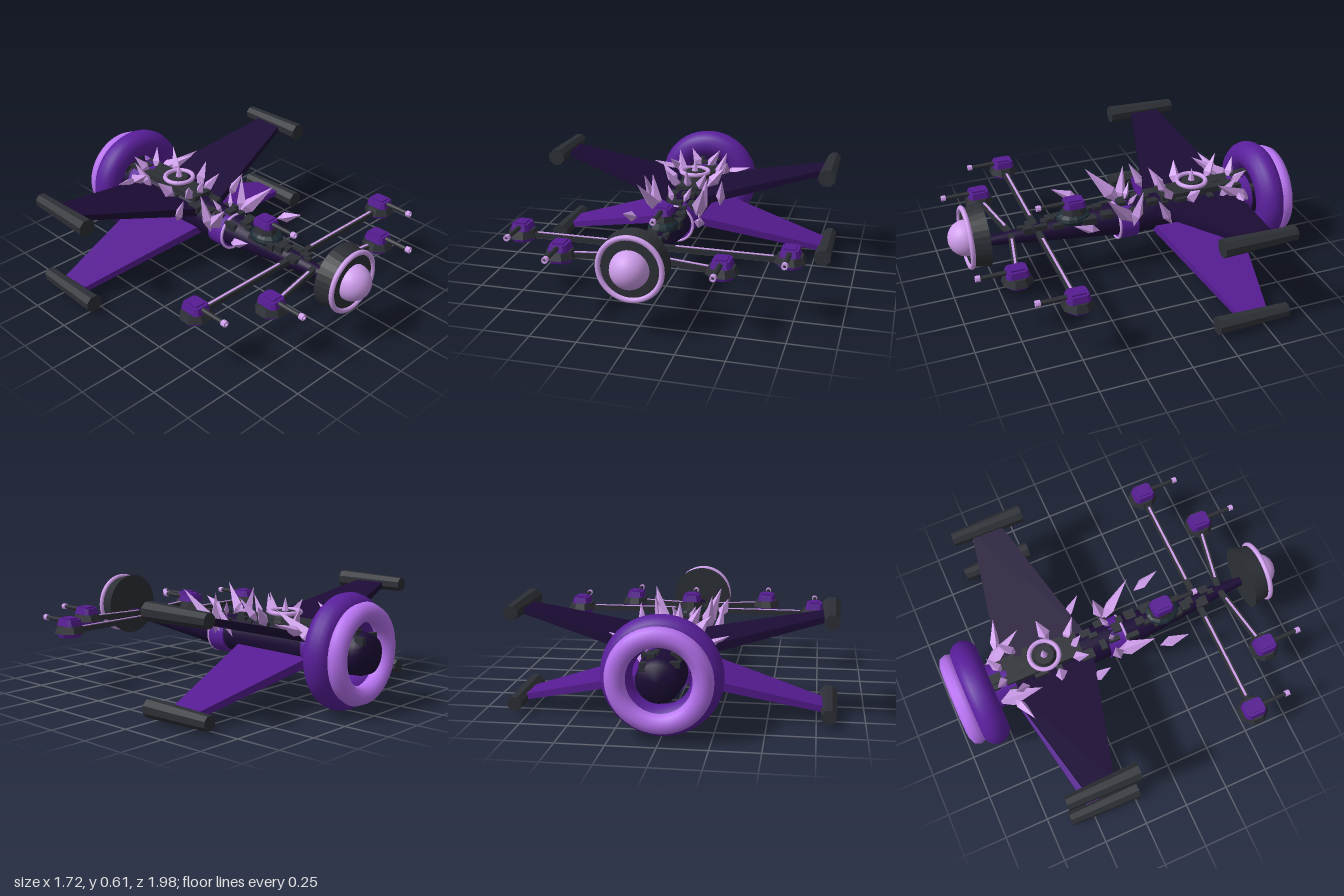
import * as THREE from 'three';

const mat = (color, flatShading = true) => new THREE.MeshStandardMaterial({ color, flatShading });
const DARK = mat(0x2c2f35), NIGHT = mat(0x1c0c36), PURPLE = mat(0x561c92), TEAL = mat(0x1c2c34);
const NIGHT_S = mat(0x1c0c36, false), PURPLE_S = mat(0x5a1f9c, false);
const LILAC = mat(0xcf9eec), LILAC_S = mat(0xcf9eec, false), VIOLET_S = mat(0xb873f2, false);
const lerp = THREE.MathUtils.lerp;
const CY = 0.318; // hull axis height

export function createModel() {
  const root = new THREE.Group();
  const add = (name, geo, m, x = 0, y = 0, z = 0, parent = root) => {
    const mesh = new THREE.Mesh(geo, m);
    mesh.name = name;
    mesh.position.set(x, y, z);
    parent.add(mesh);
    return mesh;
  };
  const box = (w, h, d) => new THREE.BoxGeometry(w, h, d);
  // cylinder lying along z, with front and back radii
  const rod = (rFront, rBack, len, n = 8) =>
    new THREE.CylinderGeometry(rFront, rBack, len, n).rotateY(Math.PI / n).rotateX(Math.PI / 2);

  // hull: revolved profile, nose bent slightly upward
  const profile = [[0, -0.975], [0.095, -0.975], [0.112, -0.93], [0.122, -0.75], [0.115, -0.6], [0.1, -0.05],
    [0.092, 0.06], [0.065, 0.35], [0.022, 0.82], [0, 0.82]];
  const hullRadius = z => {
    for (let i = 1; i < profile.length - 2; i++) {
      const [r0, z0] = profile[i], [r1, z1] = profile[i + 1];
      if (z <= z1) return lerp(r0, r1, (z - z0) / (z1 - z0));
    }
    return 0.022;
  };
  const hull = new THREE.LatheGeometry(profile.map(p => new THREE.Vector2(...p)), 24).rotateX(Math.PI / 2);
  const hp = hull.attributes.position;
  for (let i = 0; i < hp.count; i++) hp.setY(i, hp.getY(i) + CY + 0.018 * Math.max(0, hp.getZ(i)) / 0.8);
  hull.computeVertexNormals();
  add('hull', hull, new THREE.MeshStandardMaterial({ color: 0x1c0c36, side: THREE.DoubleSide }));

  // collars around the hull
  add('engineCollar', rod(0.125, 0.128, 0.14, 24), PURPLE_S, 0, CY, -0.69);
  add('midCollar', rod(0.108, 0.108, 0.11, 24), PURPLE_S, 0, CY - 0.01, -0.005);
  add('collarTrim', new THREE.TorusGeometry(0.103, 0.008, 8, 32), LILAC_S, 0, CY - 0.01, 0.048);

  // engine rings
  add('engineRing', new THREE.TorusGeometry(0.226, 0.08, 14, 48), PURPLE_S, 0, 0.315, -0.82);
  add('exhaustRing', new THREE.TorusGeometry(0.215, 0.052, 8, 48), VIOLET_S, 0, 0.315, -0.918);

  // wings: box tapered toward the tip, with a tip pod
  for (const sx of [-1, 1]) for (const sy of [-1, 1]) {
    const geo = box(1, 1, 1), p = geo.attributes.position;
    for (let i = 0; i < p.count; i++) {
      const u = 0.5 + sx * p.getX(i), v = p.getZ(i) + 0.5;
      p.setXYZ(i, sx * lerp(0.05, 0.81, u),
        0.315 + sy * lerp(0.05, 0.242, u) + p.getY(i) * lerp(0.05, 0.032, u),
        lerp(lerp(-0.67, -0.515, u), lerp(-0.155, -0.36, u), v));
    }
    geo.computeVertexNormals();
    add(sy > 0 ? 'upperWing' : 'lowerWing', geo, sy > 0 ? NIGHT : PURPLE);
    add('wingTipPod', rod(0.051, 0.04, 0.41), DARK, sx * 0.812, 0.315 + sy * 0.243, -0.425);
  }

  // nose dish, rim and dome
  const DY = 0.385;
  add('noseDish', rod(0.158, 0.18, 0.1, 32), mat(0x2c2f35), 0, DY, 0.85);
  add('dishRim', new THREE.TorusGeometry(0.163, 0.014, 10, 48), LILAC_S, 0, DY, 0.9);
  add('noseDome', new THREE.SphereGeometry(0.1, 32, 20), LILAC_S, 0, DY, 0.9);

  // octagonal block: square with cut corners, narrowing upward
  const block = (w, d, h, top = 0.8, cut = 0.3) => {
    const a = 0.5, c = a - cut;
    const s = new THREE.Shape([[a, c], [c, a], [-c, a], [-a, c], [-a, -c], [-c, -a], [c, -a], [a, -c]]
      .map(q => new THREE.Vector2(q[0] * w, q[1] * d)));
    const g = new THREE.ExtrudeGeometry(s, { depth: h, bevelEnabled: false }).rotateX(-Math.PI / 2);
    const p = g.attributes.position;
    for (let i = 0; i < p.count; i++) {
      const k = p.getY(i) > h / 2 ? top : 1;
      p.setXYZ(i, p.getX(i) * k, p.getY(i), p.getZ(i) * k);
    }
    g.computeVertexNormals();
    return g;
  };
  const turret = (x, y, z) => {
    const g = new THREE.Group();
    g.name = 'turret';
    g.position.set(x, y, z);
    root.add(g);
    add('turretHead', block(0.105, 0.125, 0.035, 0.85, 0.15), PURPLE, 0, 0, 0, g);
    add('turretCap', box(0.06, 0.012, 0.075), PURPLE, 0, 0.037, 0, g);
    add('barrel', rod(0.011, 0.014, 0.16), DARK, 0, 0.02, 0.125, g);
    const tip = new THREE.LatheGeometry([[0.009, 0], [0.017, 0], [0.017, 0.025], [0.009, 0.025], [0.009, 0]]
      .map(q => new THREE.Vector2(...q)), 8).rotateX(Math.PI / 2);
    add('muzzle', tip, new THREE.MeshStandardMaterial({ color: 0xcf9eec, flatShading: true, side: THREE.DoubleSide }), 0, 0.02, 0.19, g);
  };

  // beam with a pale strip on top, between two ground positions
  const beam = (x0, z0, x1, z1) => {
    const g = new THREE.Group(), len = Math.hypot(x1 - x0, z1 - z0);
    g.name = 'gunBoom';
    g.position.set((x0 + x1) / 2, 0.352, (z0 + z1) / 2);
    g.rotation.y = -Math.atan2(z1 - z0, x1 - x0);
    root.add(g);
    add('boom', box(len, 0.028, 0.032), DARK, 0, 0, 0, g);
    add('boomStrip', box(len * 0.75, 0.006, 0.012), LILAC, len * 0.06, 0.015, 0, g);
  };
  for (const s of [-1, 1]) {
    beam(0, 0.51, s * 0.68, 0.51);
    beam(0, 0.655, s * 0.38, 0.725);
    for (const [x, z] of [[0.722, 0.51], [0.42, 0.733]]) {
      add('podKeel', block(0.12, 0.12, 0.022, 1.1), PURPLE, s * x, 0.322, z);
      add('podBase', block(0.16, 0.16, 0.04, 0.8), DARK, s * x, 0.344, z);
      turret(s * x, 0.384, z);
    }
  }

  // dorsal turret on a teal canopy
  const canopy = add('canopy', new THREE.SphereGeometry(1, 12, 8), TEAL, 0, 0.39, 0.295);
  canopy.scale.set(0.083, 0.042, 0.1);
  add('turretNeck', block(0.12, 0.14, 0.05), DARK, 0, 0.41, 0.29);
  turret(0, 0.46, 0.29);

  // spine with scattered machinery boxes
  add('spine', box(0.13, 0.035, 0.45), DARK, 0, 0.425, -0.44);
  for (let i = 0; i < 46; i++) {
    const z = 0.6 - i * 0.0345, r = hullRadius(z);
    const x = Math.sin(i * 2.4) * r * 0.72;
    const y = CY + Math.sqrt(r * r - x * x) + 0.018 * Math.max(0, z) / 0.8;
    add('spineBox', box(0.028 + 0.014 * (i % 3), 0.028 + 0.012 * (i % 2), 0.035 + 0.014 * (i % 4)), DARK, x, y, z);
  }

  // dorsal beacon with ring and spike
  add('beaconBase', new THREE.CylinderGeometry(0.055, 0.075, 0.06, 10), DARK, 0, 0.45, -0.42);
  add('beaconRing', new THREE.TorusGeometry(0.082, 0.013, 8, 32).rotateX(Math.PI / 2), LILAC_S, 0, 0.475, -0.42);
  add('beaconSpike', new THREE.ConeGeometry(0.025, 0.09, 6), LILAC, 0, 0.51, -0.42);

  // crystal: four-sided double spike from a to b, widest near a
  const crystal = (a, b, w) => {
    const A = new THREE.Vector3(...a), B = new THREE.Vector3(...b), len = A.distanceTo(B);
    const g = new THREE.LatheGeometry([[0, 0], [w, 0.36 * len], [0, len]].map(q => new THREE.Vector2(...q)), 4);
    const m = add('crystal', g, LILAC, ...a);
    m.quaternion.setFromUnitVectors(new THREE.Vector3(0, 1, 0), B.sub(A).normalize());
  };
  const crystals = [
    [[0.1, 0.33, -0.04], [0.19, 0.565, 0.16], 0.04],
    [[0.12, 0.32, -0.02], [0.16, 0.56, -0.06], 0.035],
    [[0.18, 0.38, 0.2], [0.21, 0.46, 0.36], 0.03],
    [[0.2, 0.34, -0.22], [0.23, 0.53, -0.12], 0.028],
    [[0.09, 0.4, -0.36], [0.19, 0.52, -0.39], 0.035],
    [[0.05, 0.4, -0.28], [0.12, 0.54, -0.2], 0.03],
    [[0.1, 0.33, -0.76], [0.18, 0.52, -0.5], 0.045],
    [[0.13, 0.4, -0.66], [0.31, 0.47, -0.6], 0.028],
    [[0.02, 0.42, -0.66], [0.09, 0.53, -0.72], 0.028],
    [[0.1, 0.38, -0.55], [0.15, 0.54, -0.64], 0.03],
    [[0.03, 0.41, -0.02], [0.07, 0.5, -0.06], 0.018]];
  for (const s of [-1, 1]) for (const [a, b, w] of crystals)
    crystal([s * a[0], a[1], a[2]], [s * b[0], b[1], b[2]], w);
  crystal([0, 0.41, -0.26], [0, 0.55, -0.2], 0.025);

  return root;
}
